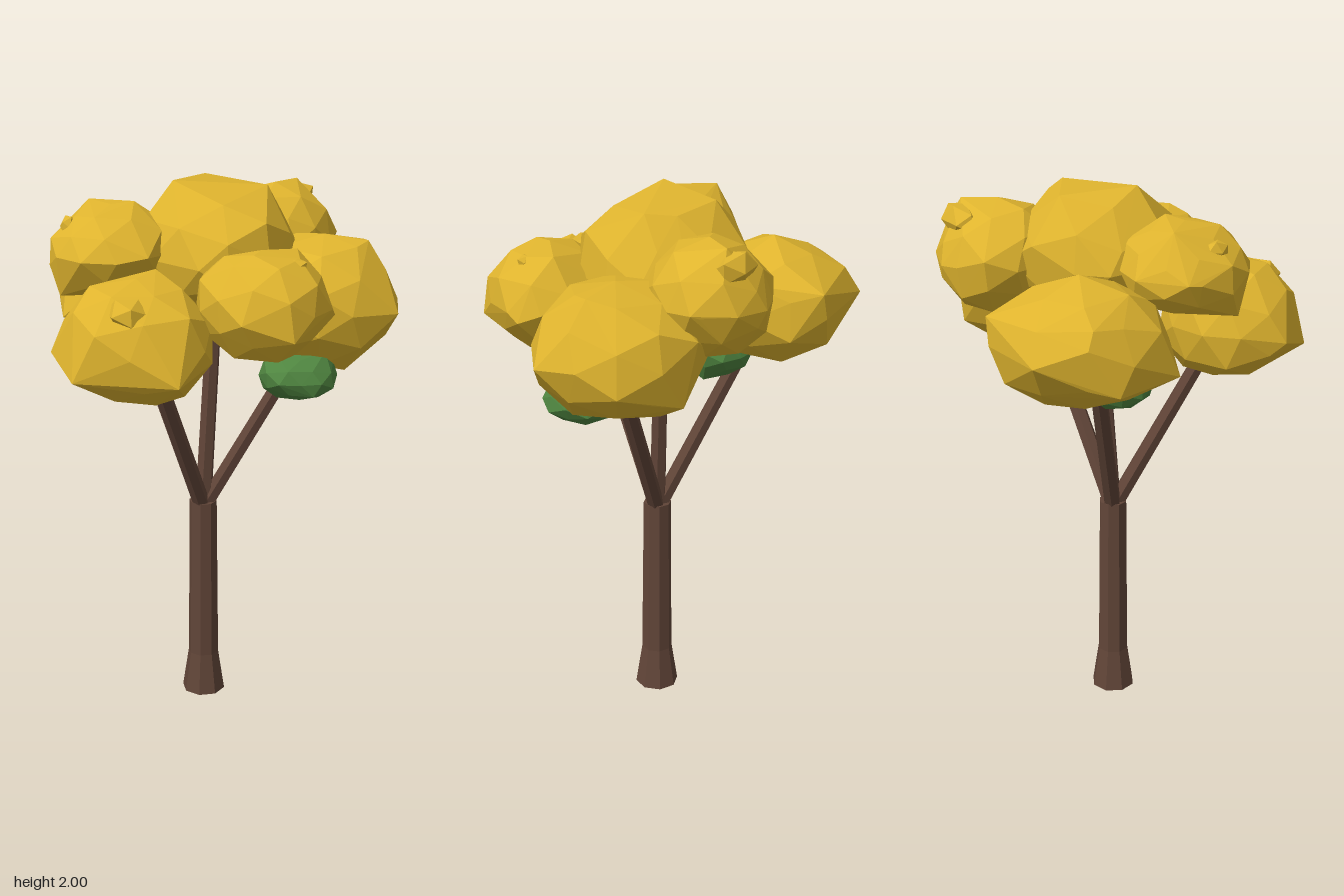
import * as THREE from 'three';
import { ConvexGeometry } from 'three/addons/geometries/ConvexGeometry.js';

const material = (name, color) => {
  const m = new THREE.MeshStandardMaterial({ color, flatShading: true });
  m.name = name;
  return m;
};

export function createModel() {
  const tree = new THREE.Group();
  tree.name = 'tree';
  const bark = material('bark brown', 0x614538);
  const gold = material('golden leaves', 0xdfb42e);
  const green = material('green leaves', 0x4f8540);

  const add = (name, geometry, mat) => {
    const mesh = new THREE.Mesh(geometry, mat);
    mesh.name = name;
    tree.add(mesh);
    return mesh;
  };

  // Faceted convex clump of half-sizes r around c, pulled out to a few corners
  function clump(name, mat, seed, c, r, corners = [], detail = 1) {
    const ball = new THREE.IcosahedronGeometry(1, detail);
    ball.rotateY(seed * 0.9);
    const p = ball.attributes.position;
    const points = new Map();
    for (let i = 0; i < p.count; i++) {
      const v = new THREE.Vector3().fromBufferAttribute(p, i);
      const k = v.toArray().map((n) => Math.round(n * 100));
      const wobble = Math.sin(k[0] * 1.27 + k[1] * 3.11 + k[2] * 7.47 + seed * 2.3);
      points.set(k.join(), v.multiplyScalar(0.97 + 0.05 * wobble));
    }
    const list = [...points.values()];
    const size = new THREE.Box3().setFromPoints(list).getSize(new THREE.Vector3());
    const scale = new THREE.Vector3(...r).multiplyScalar(1.98).divide(size);
    list.forEach((v) => v.multiply(scale).add(new THREE.Vector3(...c)));
    corners.forEach((q) => list.push(new THREE.Vector3(...q)));
    add(name, new ConvexGeometry(list), mat);
  }

  // Trunk with flared foot
  const foot = add('trunkFoot', new THREE.CylinderGeometry(0.058, 0.082, 0.16, 8), bark);
  foot.position.set(-0.045, 0.08, -0.025);
  const trunk = add('trunk', new THREE.CylinderGeometry(0.052, 0.058, 0.63, 8), bark);
  trunk.position.set(-0.045, 0.475, -0.025);

  // Branches fanning out from the trunk top
  const root = new THREE.Vector3(-0.045, 0.76, -0.025);
  const tips = [[-0.345, 1.4, -0.225], [0.28, 1.34, -0.12], [-0.135, 1.36, 0.3], [-0.015, 1.42, -0.06]];
  for (const t of tips) {
    const tip = new THREE.Vector3(...t);
    const dir = tip.clone().sub(root);
    const branch = add('branch', new THREE.CylinderGeometry(0.029, 0.032, dir.length(), 6), bark);
    branch.position.copy(root).lerp(tip, 0.5);
    branch.quaternion.setFromUnitVectors(new THREE.Vector3(0, 1, 0), dir.normalize());
  }

  // Golden crown
  clump('crownTop', gold, 1, [-0.005, 1.75, -0.07], [0.29, 0.23, 0.31],
    [[-0.14, 2, 0.02], [-0.08, 1.98, -0.24], [0.17, 1.97, -0.12], [-0.31, 1.75, -0.16], [0, 1.74, 0.25]]);
  clump('crownBackRight', gold, 2, [-0.37, 1.565, -0.3], [0.28, 0.235, 0.285],
    [[-0.66, 1.47, -0.29], [-0.57, 1.58, -0.55], [-0.61, 1.69, -0.36], [-0.25, 1.66, -0.58], [-0.57, 1.47, -0.03]]);
  clump('crownLeft', gold, 3, [0.37, 1.565, -0.15], [0.275, 0.235, 0.3],
    [[0.655, 1.55, -0.03], [0.53, 1.78, -0.15], [0.38, 1.42, -0.43], [0.47, 1.33, -0.04], [0.3, 1.325, -0.28], [0.14, 1.39, -0.1]]);
  clump('crownBackLeft', gold, 4, [0.155, 1.73, -0.37], [0.22, 0.205, 0.215],
    [[0.38, 1.74, -0.45], [0.14, 1.72, -0.59], [0.22, 1.93, -0.48], [-0.04, 1.77, -0.5]]);
  clump('crownRight', gold, 5, [-0.345, 1.765, 0.095], [0.215, 0.16, 0.225],
    [[-0.56, 1.77, 0], [-0.45, 1.92, 0], [-0.27, 1.93, 0.06], [-0.5, 1.62, 0.22], [-0.17, 1.78, 0.27]]);
  clump('crownFront', gold, 6, [-0.195, 1.51, 0.345], [0.26, 0.22, 0.235],
    [[-0.475, 1.48, 0.43], [-0.36, 1.42, 0.575], [0, 1.42, 0.565], [-0.15, 1.74, 0.25], [-0.15, 1.28, 0.33]]);
  clump('crownFrontLeft', gold, 7, [0.215, 1.63, 0.25], [0.235, 0.195, 0.22],
    [[0.36, 1.56, 0.44], [0.46, 1.6, 0.2], [0.2, 1.82, 0.32], [0.32, 1.81, 0.15], [0.19, 1.62, 0.48]]);

  // Small tufts poking out of the crown
  clump('tuft', gold, 2, [0.19, 1.86, -0.495], [0.09, 0.055, 0.06], [], 0);
  clump('tuft', gold, 3, [-0.485, 1.85, 0.14], [0.03, 0.035, 0.04], [], 0);
  clump('tuft', gold, 4, [-0.19, 1.645, 0.485], [0.075, 0.05, 0.065], [], 0);
  clump('tuft', gold, 5, [0.335, 1.78, 0.26], [0.035, 0.02, 0.025], [], 0);

  // Green clumps under the crown
  clump('greenClumpLeft', green, 2, [0.315, 1.328, 0.04], [0.138, 0.095, 0.14],
    [[0.41, 1.42, 0.04], [0.2, 1.385, 0.08], [0.24, 1.24, 0.05]]);
  clump('greenClumpRight', green, 5, [-0.26, 1.36, -0.125], [0.138, 0.095, 0.14],
    [[-0.38, 1.31, -0.14], [-0.17, 1.27, -0.14]]);

  return tree;
}
